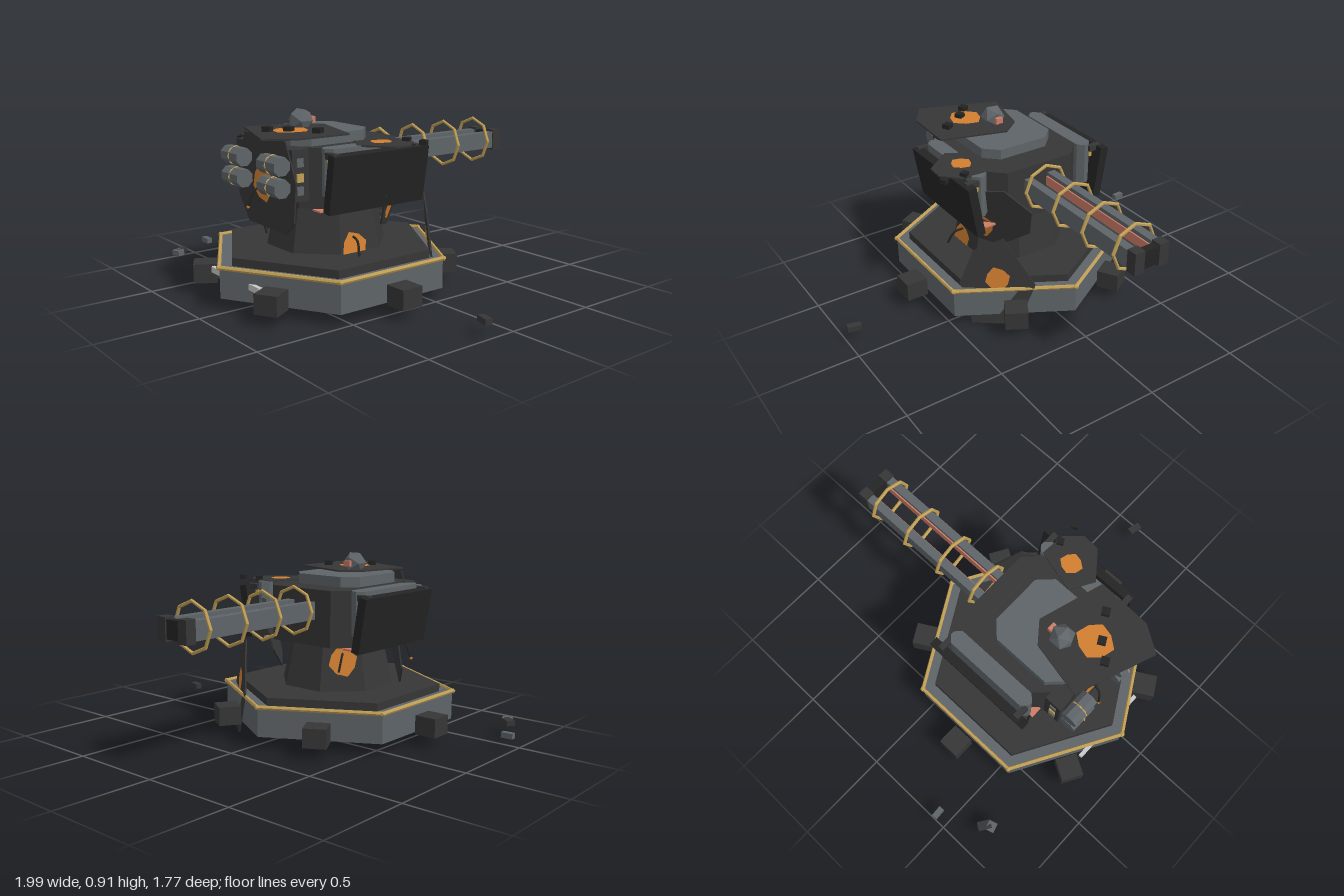
import * as THREE from 'three';

const mat = (name, color, extra = {}) => {
  const m = new THREE.MeshStandardMaterial({ color, flatShading: true, ...extra });
  m.name = name;
  return m;
};
const dark = mat('dark armour', 0x363636);
const black = mat('blackened steel', 0x242424);
const grey = mat('slate metal', 0x5e6468);
const gold = mat('brass', 0xc2a056);
const orange = mat('hot orange', 0xd27f30, { side: THREE.DoubleSide });
const salmon = mat('rail copper', 0xcc7c66);
const silver = mat('pale metal', 0xc8c8c8);

function add(parent, name, geo, material, x = 0, y = 0, z = 0) {
  const m = new THREE.Mesh(geo, material);
  m.name = name;
  m.position.set(x, y, z);
  parent.add(m);
  return m;
}
const box = (w, h, d) => new THREE.BoxGeometry(w, h, d);

// Box with cut corners seen from above, standing on y = 0
function chamferedBlock(hx, hz, cut, height) {
  const s = new THREE.Shape([
    [-hx + cut, -hz], [hx - cut, -hz], [hx, -hz + cut], [hx, hz - cut],
    [hx - cut, hz], [-hx + cut, hz], [-hx, hz - cut], [-hx, -hz + cut],
  ].map(p => new THREE.Vector2(...p)));
  return new THREE.ExtrudeGeometry(s, { depth: height, bevelEnabled: false }).rotateX(-Math.PI / 2);
}

// Irregular glowing burn mark
function burnMark(parent, r, u, v, w) {
  const pts = [1, 0.9, 1.05, 0.88, 1, 0.95, 1.08, 0.9].map((k, i) => {
    const a = i * Math.PI / 4 + 0.3;
    return new THREE.Vector2(Math.cos(a) * r * k, Math.sin(a) * r * k);
  });
  return add(parent, 'burnMark', new THREE.ShapeGeometry(new THREE.Shape(pts)), orange, u, v, w);
}

// Torn cable hanging out of a burn, with a glowing end
function cable(parent, u, v) {
  const c = new THREE.CatmullRomCurve3([
    new THREE.Vector3(u, v, 0), new THREE.Vector3(u - 0.01, v - 0.02, 0.045), new THREE.Vector3(u - 0.03, v - 0.1, 0.07)]);
  add(parent, 'tornCable', new THREE.TubeGeometry(c, 8, 0.006, 5), black);
  add(parent, 'cableTip', new THREE.IcosahedronGeometry(0.009), orange, u - 0.03, v - 0.1, 0.07);
}

// Loose plate facing a direction, outlined by points in its own plane
function tornPlate(parent, name, pos, normal, outline) {
  const g = new THREE.Group();
  g.name = name;
  g.position.set(...pos);
  g.lookAt(new THREE.Vector3(...pos).add(new THREE.Vector3(...normal)));
  parent.add(g);
  if (outline) {
    const s = new THREE.Shape(outline.map(p => new THREE.Vector2(...p)));
    add(g, name + 'Sheet', new THREE.ExtrudeGeometry(s, { depth: 0.008, bevelEnabled: false }), dark, 0, 0, -0.008);
  }
  return g;
}

export function createModel() {
  const root = new THREE.Group();
  root.name = 'wreckedTurret';
  const t = new THREE.Group();
  t.name = 'turret';
  t.position.set(-0.04, 0, 0.255);
  root.add(t);

  // Hexagonal base, rim and deck
  add(t, 'base', new THREE.CylinderGeometry(0.612, 0.612, 0.145, 6), grey, 0, 0.1325, 0);
  add(t, 'deck', new THREE.CylinderGeometry(0.545, 0.545, 0.04, 6), dark, 0, 0.225, 0);
  const rim = new THREE.TorusGeometry(0.614, 0.011, 6, 6).rotateX(Math.PI / 2).rotateY(Math.PI / 6);
  add(t, 'baseRim', rim, gold, 0, 0.21, 0);
  for (let i = 0; i < 6; i++) {
    const a = i * Math.PI / 3;
    add(t, 'rimJoint', new THREE.IcosahedronGeometry(0.015), gold, Math.sin(a) * 0.614, 0.21, Math.cos(a) * 0.614);
    const foot = add(t, 'footBlock', box(0.115, 0.097, 0.115), dark, Math.cos(a) * 0.605, 0.107, Math.sin(a) * 0.605);
    foot.rotation.y = -a;
  }
  for (const s of [-1, 1]) add(t, 'baseLabelPlate', box(0.095, 0.03, 0.02), silver, s * 0.172, 0.135, 0.527);

  // Pedestal and main housing
  add(t, 'pedestal', new THREE.CylinderGeometry(0.25, 0.303, 0.24, 8).rotateY(Math.PI / 8), dark, 0, 0.36, 0);
  add(t, 'housing', chamferedBlock(0.29, 0.29, 0.1, 0.285), dark, 0, 0.48, 0);
  add(t, 'roofHatch', chamferedBlock(0.205, 0.22, 0.07, 0.052), grey, 0, 0.765, 0.075);
  add(t, 'sensorDome', new THREE.IcosahedronGeometry(0.064), grey, 0, 0.86, 0.145);
  add(t, 'sensorEye', box(0.04, 0.03, 0.02), salmon, 0, 0.86, 0.082);

  // Front block with side lamps and canister racks
  add(t, 'frontBlock', box(0.49, 0.24, 0.09), dark, 0, 0.645, 0.315);
  for (const s of [-1, 1]) {
    [[0.705, grey], [0.635, gold], [0.575, grey]].forEach(([y, m]) =>
      add(t, 'sideLamp', box(0.008, 0.04, 0.035), m, s * 0.248, y, 0.32));
    for (const y of [0.695, 0.593]) {
      const tube = new THREE.CylinderGeometry(0.046, 0.046, 0.15, 8).rotateY(Math.PI / 8).rotateZ(Math.PI / 2);
      add(t, 'canister', tube, grey, s * 0.163, y, 0.41);
      add(t, 'canisterBand', new THREE.TorusGeometry(0.046, 0.004, 5, 8).rotateY(Math.PI / 2), gold, s * 0.163, y, 0.41);
    }
    // Side armour: inner grey pad, tilted outer slab, hot seam below
    add(t, 'armourPad', chamferedBlock(0.04, 0.25, 0.03, 0.22), grey, s * 0.315, 0.55, -0.01);
    const slab = add(t, 'armourSlab', box(0.046, 0.275, 0.56), black, s * 0.378, 0.612, -0.025);
    slab.rotation.z = -s * 0.16;
    for (const z of [-0.25, 0.23]) {
      add(t, 'armourBracket', box(0.07, 0.03, 0.03), dark, s * 0.37, 0.74, z);
      add(t, 'bracketPin', box(0.015, 0.05, 0.012), gold, s * 0.345, 0.72, z);
    }
    add(t, 'hotSeam', box(0.06, 0.008, 0.5), salmon, s * 0.27, 0.475, 0);
  }

  // Twin-rail gun pointing to the rear
  const gun = new THREE.Group();
  gun.name = 'railGun';
  gun.position.set(0, 0.658, 0);
  t.add(gun);
  for (const s of [-1, 1]) {
    add(gun, 'rail', box(0.044, 0.09, 0.9), grey, s * 0.069, 0, -0.64);
    add(gun, 'railLiner', box(0.008, 0.05, 0.85), salmon, s * 0.044, 0, -0.645);
    add(gun, 'muzzleBlock', box(0.054, 0.112, 0.055), dark, s * 0.069, 0, -1.113);
  }
  add(gun, 'muzzleBridge', box(0.1, 0.09, 0.04), black, 0, 0, -1.113);
  for (let i = 0; i < 4; i++) add(gun, 'coilRing', new THREE.TorusGeometry(0.119, 0.009, 6, 8), gold, 0, 0, -0.345 - i * 0.225);

  // Torn plates around the hull
  const front = tornPlate(root, 'frontPlate', [-0.03, 0.6, 0.622], [0, 0, 1],
    [[-0.16, 0.21], [0.19, 0.2], [0.27, 0.02], [0.25, -0.17], [0.18, -0.235], [-0.14, -0.225], [-0.23, -0.1], [-0.21, 0.1]]);
  burnMark(front, 0.09, 0, -0.015, 0.004);
  cable(front, 0, -0.03);

  const top = tornPlate(root, 'roofPlate', [0.05, 0.83, 0.5], [0, 1, 0],
    [[-0.09, 0.24], [0.245, 0.14], [0.235, -0.14], [0.15, -0.27], [-0.25, -0.12], [-0.19, 0.16]]);
  burnMark(top, 0.09, 0.005, -0.02, 0.003);
  for (const [u, v] of [[0.025, -0.045], [0.145, 0.035], [-0.04, -0.12]])
    add(top, 'bolt', box(0.04, 0.04, 0.024), black, u, v, 0.012).rotation.z = 0.5;

  const side = tornPlate(root, 'sideRoofPlate', [0.3, 0.772, 0.17], [0, 1, 0],
    [[-0.06, 0.14], [0.07, 0.13], [0.145, 0.05], [0.14, -0.04], [0.0, -0.15], [-0.12, -0.08]]);
  burnMark(side, 0.056, -0.01, 0, 0.003);
  for (const [u, v] of [[0.04, 0.115], [0.155, 0.12]])
    add(side, 'bolt', box(0.034, 0.034, 0.024), black, u, v, 0.006).rotation.z = 0.5;

  const fallen = tornPlate(root, 'fallenPlate', [0.29, 0.232, -0.145], [0.62, 0.1, -0.78],
    [[0.03, 0.25], [-0.12, 0.18], [-0.19, 0], [-0.13, -0.23], [0.1, -0.23], [0.19, 0]]);
  burnMark(fallen, 0.065, 0, 0.03, 0.004);
  burnMark(fallen, 0.065, 0, 0.03, -0.012);

  const left = tornPlate(root, 'leftPlate', [-0.32, 0.4, 0.42], [-0.7, 0.1, 0.7],
    [[0, -0.16], [0.14, -0.04], [0.15, 0.06], [0.06, 0.15], [-0.04, 0.14], [-0.11, -0.06]]);
  burnMark(left, 0.055, 0.05, 0.06, 0.004);
  cable(left, 0.05, 0.06);

  const rear = tornPlate(root, 'rearPlate', [0.2, 0.52, 0], [0.75, -0.25, -0.6],
    [[0.06, 0.18], [-0.15, 0.14], [-0.24, 0], [-0.16, -0.16], [0, -0.2], [0.17, -0.08], [0.19, 0.06]]);
  burnMark(rear, 0.075, -0.09, -0.07, 0.004);

  // Burns on the pedestal
  const burnRight = tornPlate(root, 'pedestalBurnRight', [0.236, 0.27, 0.29], [1, 0.2, 0]);
  burnMark(burnRight, 0.075, 0, 0, 0.003);
  cable(burnRight, 0, 0.05);
  const burnRear = tornPlate(root, 'pedestalBurnRear', [-0.235, 0.4, 0.06], [-0.7, 0.2, -0.7]);
  burnMark(burnRear, 0.075, 0, 0, 0.006);
  cable(burnRear, 0, 0.04);

  // Scattered fragments
  [[0.955, 0.135, 0.07, 0.035, -0.25], [-0.968, 0.437, 0.06, 0.03, 0.05], [-0.85, 0.655, 0.07, 0.045, -0.6], [-0.83, 0.685, 0.05, 0.045, 0.3]]
    .forEach(([x, z, w, d, a], i) => {
      add(root, 'fragment', box(w, 0.028, d), i % 2 ? grey : dark, x, 0.075, z).rotation.y = a;
    });
  return root;
}
